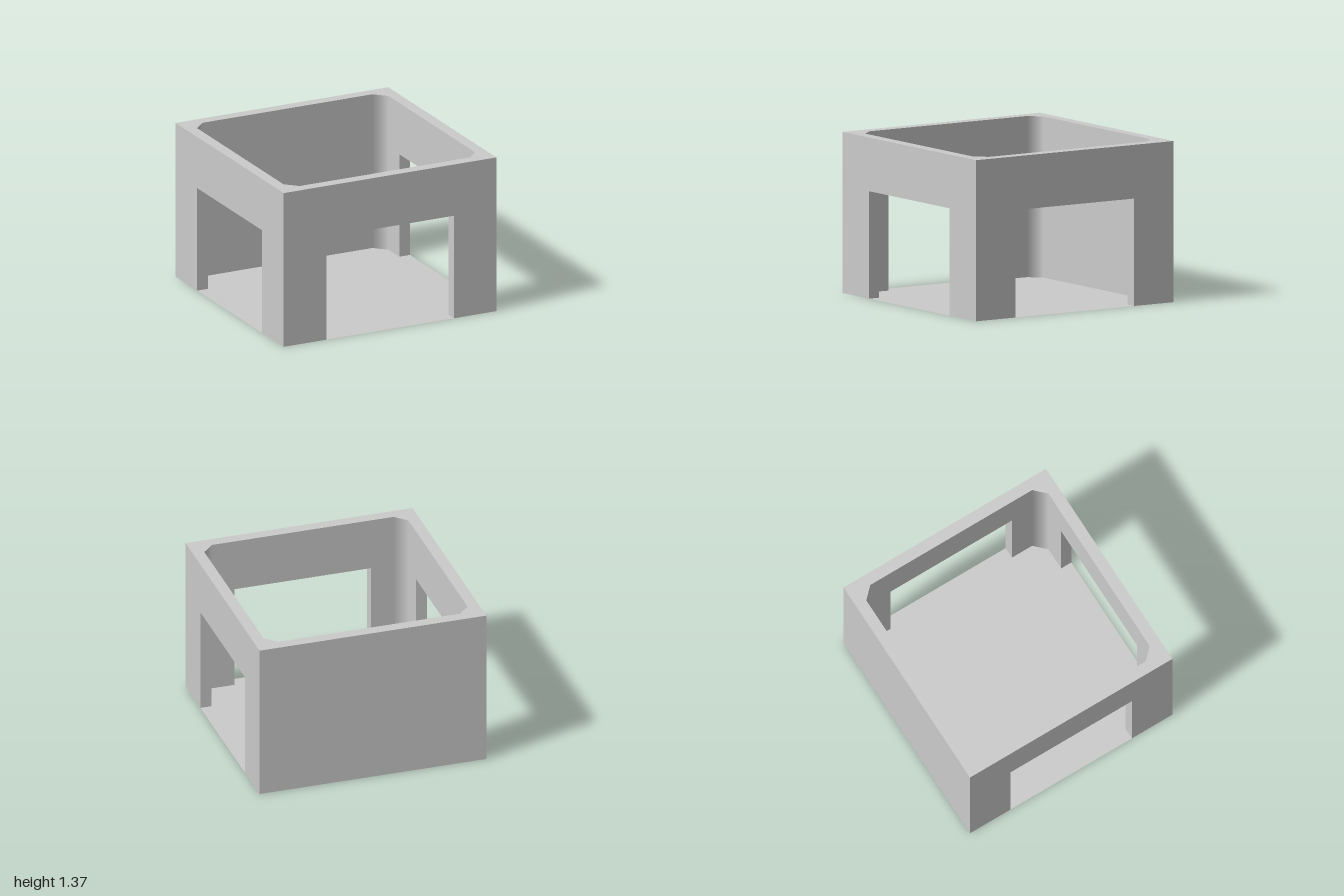
import * as THREE from 'three';

const H = 1.365;      // wall height
const DOOR_H = 0.91;  // doorway height
const DOOR = 0.6;     // doorway half width
const OUT = 1;        // outer face distance
const INN = 0.9;      // inner face distance
const CUT = 0.8;      // start of the chamfered inner corner

const grey = new THREE.MeshStandardMaterial({ color: 0xcccccc, side: THREE.DoubleSide });
grey.name = 'plain grey';

function add(parent, name, geometry, x = 0, y = 0, z = 0) {
  const mesh = new THREE.Mesh(geometry, grey);
  mesh.name = name;
  mesh.position.set(x, y, z);
  parent.add(mesh);
  return mesh;
}

function polygon(points) {
  return new THREE.Shape(points.map(([x, y]) => new THREE.Vector2(x, y)));
}

// Upright wall face, with a doorway notch if wanted
function wallFace(half, door) {
  const notch = door ? [[-DOOR, 0], [-DOOR, DOOR_H], [DOOR, DOOR_H], [DOOR, 0]] : [];
  return new THREE.ShapeGeometry(polygon([[-half, 0], ...notch, [half, 0], [half, H], [-half, H]]));
}

// One side of the room, built facing +z
function wall(name, door) {
  const g = new THREE.Group();
  g.name = name;
  add(g, 'outerFace', wallFace(OUT, door), 0, 0, OUT);
  add(g, 'innerFace', wallFace(CUT, door).rotateY(Math.PI), 0, 0, INN);
  if (door) {
    const depth = OUT - INN, mid = (OUT + INN) / 2;
    for (const s of [-1, 1]) {
      add(g, s < 0 ? 'rightJamb' : 'leftJamb',
        new THREE.PlaneGeometry(depth, DOOR_H).rotateY(-s * Math.PI / 2), s * DOOR, DOOR_H / 2, mid);
    }
    add(g, 'lintelUnderside', new THREE.PlaneGeometry(2 * DOOR, depth).rotateX(Math.PI / 2), 0, DOOR_H, mid);
  }
  return g;
}

// Chamfered inner corner, shaded smoothly into both walls
function cornerGeometry() {
  const geo = new THREE.PlaneGeometry((INN - CUT) * Math.SQRT2, H);
  const p = geo.attributes.position, n = geo.attributes.normal;
  for (let i = 0; i < p.count; i++) {
    n.setXYZ(i, -Math.sign(p.getX(i)) * Math.SQRT1_2, 0, Math.SQRT1_2);
  }
  return geo.rotateY(Math.PI / 4).translate(-(INN + CUT) / 2, H / 2, -(INN + CUT) / 2);
}

export function createModel() {
  const model = new THREE.Group();
  model.name = 'openRoom';

  // Four walls: doorways on three sides, solid back
  ['frontWall', 'leftWall', 'backWall', 'rightWall'].forEach((name, i) => {
    const side = wall(name, i !== 2);
    side.rotation.y = i * Math.PI / 2;
    model.add(side);
    add(model, 'innerCorner', cornerGeometry()).rotation.y = i * Math.PI / 2;
  });

  // Top rim with a chamfered opening
  const rim = polygon([[-OUT, -OUT], [OUT, -OUT], [OUT, OUT], [-OUT, OUT]]);
  rim.holes.push(polygon([[-CUT, -INN], [-INN, -CUT], [-INN, CUT], [-CUT, INN],
    [CUT, INN], [INN, CUT], [INN, -CUT], [CUT, -INN]]));
  add(model, 'topRim', new THREE.ShapeGeometry(rim).rotateX(-Math.PI / 2), 0, H, 0);

  // Floor reaching out through the three doorways
  const floor = polygon([
    [-CUT, -INN], [-DOOR, -INN], [-DOOR, -OUT], [DOOR, -OUT], [DOOR, -INN], [CUT, -INN],
    [INN, -CUT], [INN, -DOOR], [OUT, -DOOR], [OUT, DOOR], [INN, DOOR], [INN, CUT],
    [CUT, INN], [-CUT, INN],
    [-INN, CUT], [-INN, DOOR], [-OUT, DOOR], [-OUT, -DOOR], [-INN, -DOOR], [-INN, -CUT]]);
  add(model, 'floor', new THREE.ShapeGeometry(floor).rotateX(-Math.PI / 2));

  return model;
}
